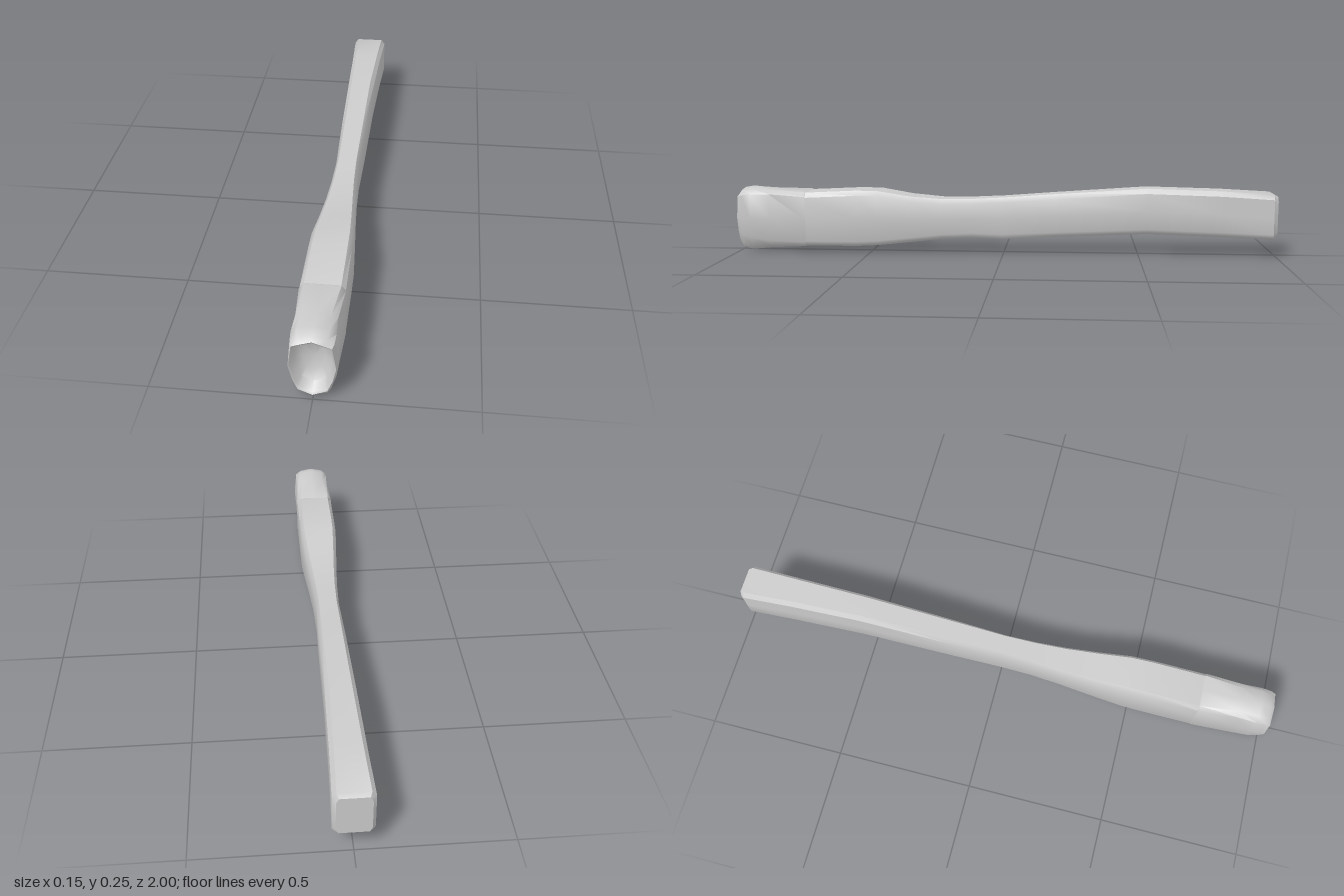
import * as THREE from 'three';
import { toCreasedNormals } from 'three/addons/utils/BufferGeometryUtils.js';

// Mirror the right half of a cross-section (top centre to bottom centre) into a full ring.
function ring(z, half) {
  const left = half.slice(1, -1).reverse().map(([x, y]) => [-x, y]);
  return [...half, ...left].map(([x, y]) => [x, y, z]);
}

// Skin a list of rings running from back to front.
function loft(rings, crease) {
  const n = rings[0].length;
  const index = [];
  for (let i = 0; i < rings.length - 1; i++) {
    for (let j = 0; j < n; j++) {
      const k = (j + 1) % n;
      const a = i * n + j, b = i * n + k, c = a + n, d = b + n;
      index.push(a, c, b, b, c, d);
    }
  }
  const geometry = new THREE.BufferGeometry();
  geometry.setAttribute('position', new THREE.Float32BufferAttribute(rings.flat(2), 3));
  geometry.setIndex(index);
  return toCreasedNormals(geometry, crease);
}

// Chamfered box section: half width w, flat half width f, bottom b, top t.
function gripHalf(w, f, b, t) {
  const c = Math.min(0.018, (t - b) / 4);
  return [
    [0, t], [f, t], [w, t - c], [w, (t + b) / 2],
    [w, b + c], [(w + f) / 2, b + c * 0.3], [f, b], [0, b],
  ];
}

function createModel() {
  const model = new THREE.Group();
  const material = new THREE.MeshStandardMaterial({ color: 0xcccccc });
  const add = (name, geometry) => {
    const mesh = new THREE.Mesh(geometry, material);
    mesh.name = name;
    model.add(mesh);
  };

  // Long waisted handle: z, half width, flat half width, bottom, top
  const stations = [
    [-1, 0, 0, 0.152, 0.152],
    [-1, 0.055, 0.046, 0.08, 0.225],
    [-0.985, 0.066, 0.052, 0.069, 0.233],
    [-0.8, 0.059, 0.045, 0.075, 0.243],
    [-0.53, 0.052, 0.038, 0.082, 0.25],
    [-0.2, 0.047, 0.035, 0.067, 0.227],
    [0, 0.042, 0.033, 0.056, 0.212],
    [0.12, 0.046, 0.036, 0.06, 0.206],
    [0.23, 0.053, 0.042, 0.055, 0.205],
    [0.35, 0.062, 0.05, 0.043, 0.215],
    [0.47, 0.07, 0.057, 0.031, 0.235],
    [0.55, 0.071, 0.058, 0.027, 0.236],
    [0.74, 0.072, 0.058, 0.027, 0.227],
    [0.8, 0.062, 0.05, 0.045, 0.21],
  ];
  add('handle', loft(stations.map(([z, ...s]) => ring(z, gripHalf(...s))), 0.65));

  // Rounded butt with a flared lip
  const butt = [
    ring(0.74, gripHalf(0.072, 0.058, 0.027, 0.228)),
    ring(0.745, gripHalf(0.073, 0.059, 0.024, 0.23)),
    ring(0.88, [[0, 0.237], [0.045, 0.234], [0.064, 0.22], [0.069, 0.13],
      [0.067, 0.045], [0.055, 0.025], [0.04, 0.015], [0, 0.012]]),
    ring(0.95, [[0, 0.246], [0.048, 0.238], [0.067, 0.22], [0.073, 0.13],
      [0.066, 0.055], [0.055, 0.022], [0.04, 0.008], [0, 0.002]]),
    ring(0.985, [[0, 0.24], [0.045, 0.231], [0.065, 0.215], [0.073, 0.13],
      [0.062, 0.065], [0.053, 0.036], [0.042, 0.018], [0, 0.008]]),
  ];
  // Hollow in the end face: the mouth shrinks inward as it sinks
  const mouth = [[0, 0.23], [0.035, 0.218], [0.06, 0.209], [0.071, 0.13],
    [0.06, 0.08], [0.052, 0.06], [0.044, 0.04], [0, 0.02]];
  for (const [z, s] of [[1, 1], [0.995, 0.93], [0.965, 0.78], [0.95, 0.5], [0.946, 0]]) {
    butt.push(ring(z, mouth.map(([x, y]) => [x * s, 0.13 + (y - 0.13) * s])));
  }
  add('butt', loft(butt, 0.8));

  return model;
}

export { createModel };
